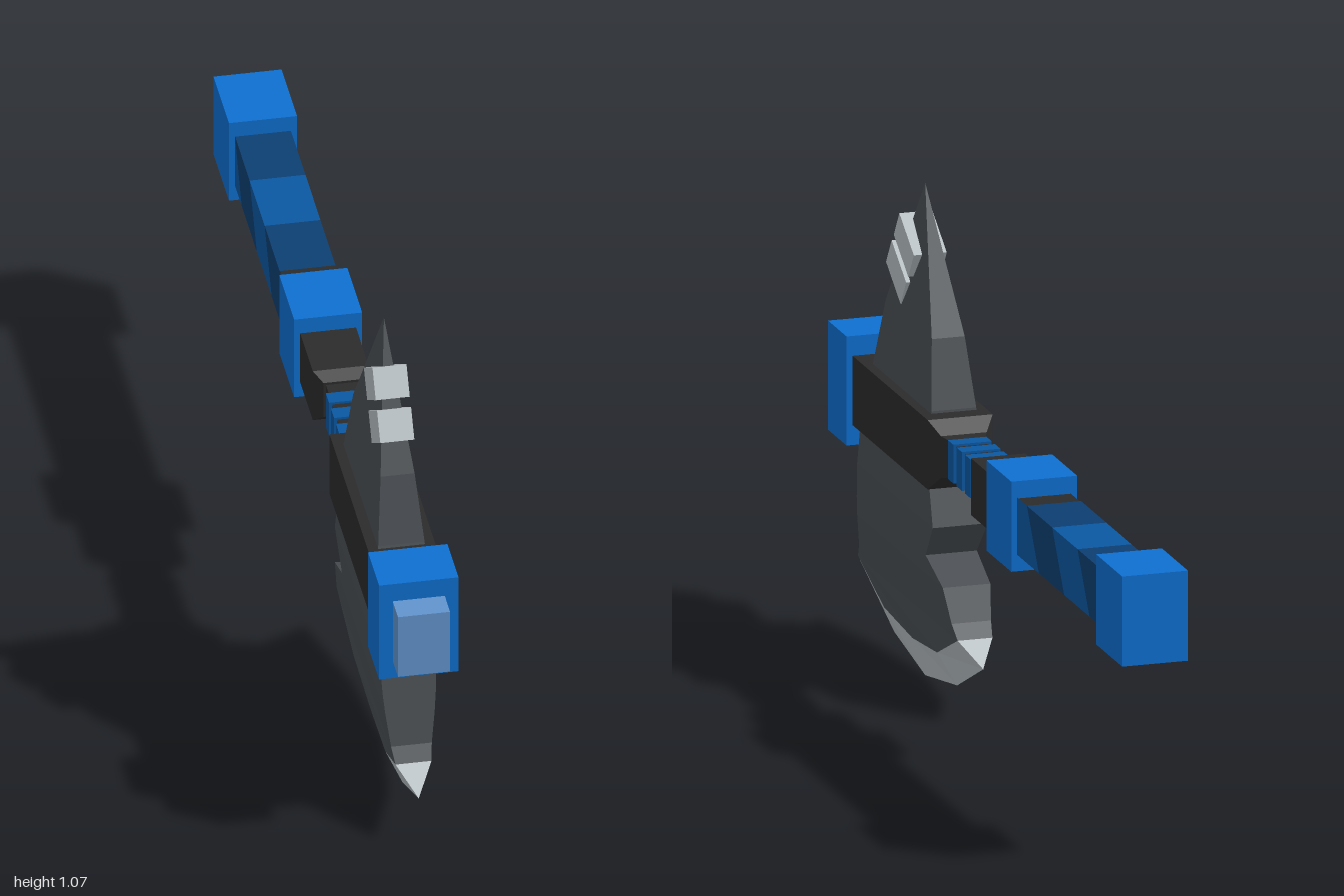
import * as THREE from 'three';

const mat = (name, color) => new THREE.MeshStandardMaterial({ name, color, flatShading: true });

export function createModel() {
  const model = new THREE.Group();
  model.name = 'battleAxe';
  const black = mat('blackMetal', 0x2b2b2b);
  const blue = mat('brightBlue', 0x0e6fd0);
  const paleBlue = mat('paleBlue', 0x6294cd);
  const wrapLight = mat('wrapBlue', 0x0b58a2);
  const wrapDark = mat('darkWrapBlue', 0x0c3f72);
  const steel = mat('darkSteel', 0x4a4f53);
  const silver = mat('silver', 0xb8c0c4);
  const AXIS = 0.548;

  const add = (name, geometry, material, parent = model) => {
    const mesh = new THREE.Mesh(geometry, material);
    mesh.name = name;
    parent.add(mesh);
    return mesh;
  };

  // Square bar along z; each end has its own width and height
  const bar = (name, material, z0, z1, w0, h0, w1 = w0, h1 = h0) => {
    const g = new THREE.BoxGeometry(1, 1, z1 - z0);
    const p = g.attributes.position;
    for (let i = 0; i < p.count; i++) {
      const front = p.getZ(i) > 0;
      p.setX(i, p.getX(i) * (front ? w1 : w0));
      p.setY(i, p.getY(i) * (front ? h1 : h0));
    }
    g.computeVertexNormals();
    add(name, g, material).position.set(0, AXIS, (z0 + z1) / 2);
  };

  // Shaft, from front cap to pommel
  bar('frontCap', paleBlue, 0.94, 1, 0.11, 0.15);
  bar('frontBlock', blue, 0.815, 0.94, 0.168, 0.236);
  bar('headSleeve', black, 0.31, 0.815, 0.142, 0.15);
  bar('sleeveTaper', black, 0.285, 0.31, 0.1, 0.09, 0.142, 0.15);
  bar('neckFlare', black, 0.255, 0.285, 0.07, 0.076, 0.1, 0.09);
  bar('neck', black, 0.055, 0.26, 0.07, 0.074);
  for (const z of [0.13, 0.187, 0.245]) bar('neckRing', wrapLight, z - 0.018, z + 0.018, 0.084, 0.084);
  bar('collarTaper', black, 0.055, 0.075, 0.118, 0.123, 0.08, 0.085);
  bar('collar', black, -0.09, 0.055, 0.118, 0.123);
  bar('gripBlock', blue, -0.255, -0.087, 0.144, 0.195);
  bar('gripCore', black, -0.83, -0.25, 0.116, 0.12);
  bar('pommel', blue, -1, -0.825, 0.144, 0.195);

  // Grip wrapped by a two-colour spiral band
  const grip = new THREE.Group();
  grip.name = 'gripWrap';
  model.add(grip);
  const X = 0.059, Y = 0.062;
  const corners = [[-X, Y], [X, Y], [X, -Y], [-X, -Y]];
  const shift = [0, 0, -0.08, -0.26, -0.34];
  const clampZ = z => Math.min(-0.255, Math.max(-0.826, z));
  for (let n = -1; n < 5; n++) {
    const start = -0.15 - 0.17 * (n - 0);
    for (const k of [0, 1, 2, 3]) {
      for (const turn of k > 1 ? [0, 0.34] : [0]) {
        const zs = [0, 1].map(j => start + shift[k + j] + turn);
        const [a0, b0] = zs.map(clampZ), [a1, b1] = zs.map(z => clampZ(z - 0.17));
        if (a0 - a1 + b0 - b1 < 1e-4) continue;
        if (turn && n > -1 && n < 3) continue;
        if (k === 0 && n <= 0) continue;
        const [ax, ay] = corners[k], [bx, by] = corners[(k + 1) % 4];
        const g = new THREE.BufferGeometry();
        g.setAttribute('position', new THREE.Float32BufferAttribute([
          ax, ay, a0, bx, by, b0, bx, by, b1, ax, ay, a0, bx, by, b1, ax, ay, a1], 3));
        g.computeVertexNormals();
        add('wrapPanel', g, n % 2 === 0 ? wrapLight : wrapDark, grip).position.y = AXIS;
      }
    }
  }
  // Side panels that close the start of the left wrap
  for (const n of [0, 1, 2]) {
    for (const k of [2, 3]) {
      const zs = [0, 1].map(j => -0.15 - 0.17 * n + shift[k + j] + 0.34);
      const [a0, b0] = zs.map(clampZ), [a1, b1] = zs.map(z => clampZ(z - 0.17));
      if (a0 - a1 + b0 - b1 < 1e-4) continue;
      const [ax, ay] = corners[k], [bx, by] = corners[(k + 1) % 4];
      const g = new THREE.BufferGeometry();
      g.setAttribute('position', new THREE.Float32BufferAttribute([
        ax, ay, a0, bx, by, b0, bx, by, b1, ax, ay, a0, bx, by, b1, ax, ay, a1], 3));
      g.computeVertexNormals();
      add('wrapPanel', g, n % 2 === 0 ? wrapLight : wrapDark, grip).position.y = AXIS;
    }
  }

  // Slab from outline points [z, y, half thickness]
  const slab = (name, material, pts, parent) => {
    const shape = new THREE.Shape(pts.map(([z, y]) => new THREE.Vector2(-z, y)));
    const g = new THREE.ExtrudeGeometry(shape, { depth: 1, bevelEnabled: false });
    const p = g.attributes.position;
    for (let i = 0; i < p.count; i++) {
      const z = -p.getX(i), y = p.getY(i);
      const w = pts.find(q => Math.abs(q[0] - z) + Math.abs(q[1] - y) < 1e-4)[2];
      p.setXYZ(i, p.getZ(i) > 0.5 ? w : -w, y, z);
    }
    g.computeVertexNormals();
    add(name, g, material, parent);
  };

  const blade = new THREE.Group();
  blade.name = 'blade';
  model.add(blade);

  // Blade rows: front z, back z, height, half thickness
  const rows = [
    [0.70, 0.39, 0.773, 0.036], [0.743, 0.353, 0.628, 0.049], [0.80, 0.337, 0.473, 0.059],
    [0.818, 0.31, 0.388, 0.06], [0.833, 0.37, 0.313, 0.056], [0.842, 0.267, 0.27, 0.052],
    [0.857, 0.235, 0.2, 0.043], [0.88, 0.21, 0.17, 0.038],
  ];
  slab('spike', steel, [[0.545, 1.066, 0], [0.70, 0.773, 0.036], [0.39, 0.773, 0.036]], blade);
  for (let i = 0; i < rows.length - 1; i++) {
    const [f0, b0, y0, w0] = rows[i], [f1, b1, y1, w1] = rows[i + 1];
    slab('bladeBody', steel, [[f0, y0, w0], [f1, y1, w1], [b1, y1, w1], [b0, y0, w0]], blade);
  }

  // Lower blade and its sharpened edge
  const inner = [[0.88, 0.17, 0.038], [0.727, 0.1, 0.031], [0.545, 0.083, 0.028], [0.37, 0.1, 0.031], [0.21, 0.17, 0.038]];
  const outer = [[0.94, 0.12, 0], [0.754, 0.037, 0], [0.545, 0, 0], [0.33, 0.037, 0], [0.155, 0.12, 0]];
  slab('lowerBlade', steel, inner, blade);
  for (let i = 0; i < 4; i++) {
    slab('cuttingEdge', silver, [inner[i], outer[i], outer[i + 1], inner[i + 1]], blade);
  }

  // Two silver clips on the front of the spike
  for (const [z, y] of [[0.578, 0.925], [0.63, 0.852]]) {
    const clip = add('spikeClip', new THREE.BoxGeometry(0.072, 0.068, 0.117), silver, blade);
    clip.position.set(0, y, z);
    clip.rotation.x = -0.585;
  }
  return model;
}
